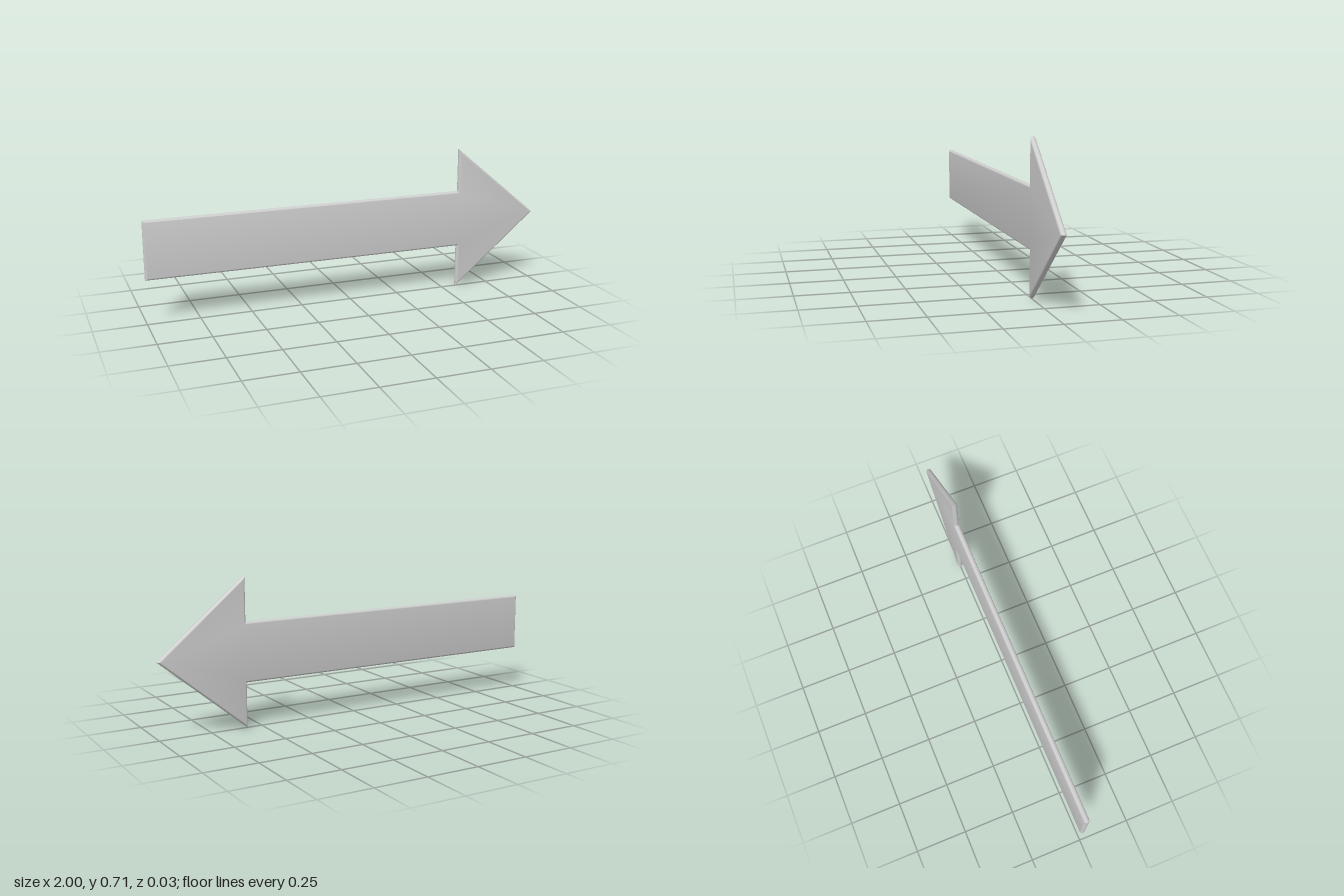
import * as THREE from 'three';
import { toCreasedNormals } from 'three/addons/utils/BufferGeometryUtils.js';

const MID = 0.357;     // height of the centre line
const HEAD_X = 0.573;  // where the head meets the shaft
const SHAFT = 0.142;   // half width of the shaft
const R = 0.014;       // half thickness and edge radius
const STEPS = 12;      // facets around the rounded edge

// Moves every side of a counter-clockwise outline inwards, keeping mitred corners
function inset(points, distance) {
  const n = points.length;
  const inward = points.map((p, i) => {
    const d = points[(i + 1) % n].clone().sub(p).normalize();
    return new THREE.Vector2(-d.y, d.x);
  });
  return points.map((p, i) => {
    const a = inward[(i + n - 1) % n], b = inward[i];
    return a.clone().add(b).multiplyScalar(distance / (1 + a.dot(b))).add(p);
  });
}

// Flat plate with a half-round edge
function roundedPlate(outline) {
  const n = outline.length;
  const rings = [];
  for (let j = 0; j <= STEPS; j++) {
    const t = (j / STEPS - 0.5) * Math.PI;
    rings.push(inset(outline, R * (1 - Math.cos(t)))
      .map(p => new THREE.Vector3(p.x, p.y, R * Math.sin(t))));
  }
  const corners = [];
  for (let j = 0; j < STEPS; j++) {
    for (let i = 0; i < n; i++) {
      const k = (i + 1) % n;
      const a = rings[j][i], b = rings[j][k], c = rings[j + 1][k], d = rings[j + 1][i];
      corners.push(a, b, c, a, c, d);
    }
  }
  // Front and back faces
  const back = rings[0], front = rings[STEPS];
  const flat = front.map(p => new THREE.Vector2(p.x, p.y));
  for (const [a, b, c] of THREE.ShapeUtils.triangulateShape(flat, [])) {
    corners.push(front[a], front[b], front[c], back[c], back[b], back[a]);
  }
  const geometry = new THREE.BufferGeometry().setFromPoints(corners);
  return toCreasedNormals(geometry, 0.5);
}

export function createModel() {
  const group = new THREE.Group();
  group.name = 'arrowSign';

  // Arrow outline: lower half, tip, then the lower half mirrored
  const lower = [[-1, -SHAFT], [HEAD_X, -SHAFT], [HEAD_X, -MID]];
  const upper = lower.map(([x, y]) => [x, -y]).reverse();
  const outline = [...lower, [1, 0], ...upper]
    .map(([x, y]) => new THREE.Vector2(x, y + MID));

  const arrow = new THREE.Mesh(
    roundedPlate(outline),
    new THREE.MeshStandardMaterial({ color: 0xcccccc })
  );
  arrow.name = 'arrowPlate';
  group.add(arrow);
  return group;
}
